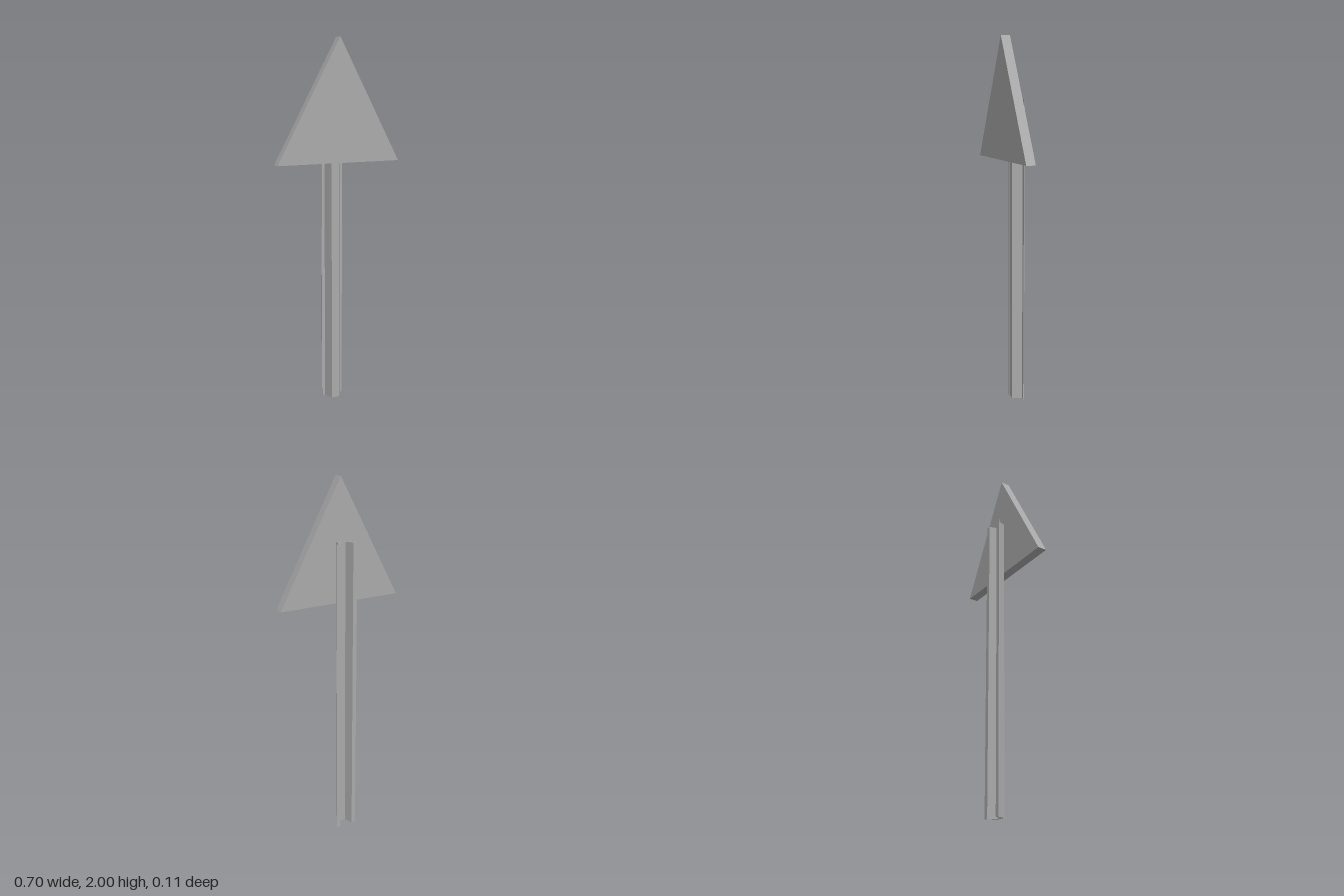
import * as THREE from 'three';

export function createModel() {
  const group = new THREE.Group();
  const metal = new THREE.MeshStandardMaterial({ color: 0xaaaaaa });
  metal.name = 'grey metal';

  const toShape = (pts) => new THREE.Shape(pts.map(([x, y]) => new THREE.Vector2(x, y)));
  const extrude = (pts, depth) =>
    new THREE.ExtrudeGeometry(toShape(pts), { depth, bevelEnabled: false });

  // triangular sign plate
  const plate = new THREE.Mesh(
    extrude([[-0.352, 1.354], [0.352, 1.354], [0, 2]], 0.051), metal);
  plate.name = 'signPlate';
  plate.position.z = 0.0045;
  group.add(plate);

  // flanged U-channel post: right half of the profile as (x, z), then mirrored
  const half = [
    [0.02, -0.001], [0.021, 0.0035], [0.026, 0.0035], [0.0435, -0.0515],
    [0.062, -0.0515], [0.062, -0.0555], [0.038, -0.0555], [0.021, -0.0055],
  ];
  const mirrored = half.map(([x, z]) => [-x, z]).reverse();
  const profile = [...half, ...mirrored].map(([x, z]) => [x, -z]);
  const postGeometry = extrude(profile, 1.677);
  postGeometry.rotateX(-Math.PI / 2);
  const post = new THREE.Mesh(postGeometry, metal);
  post.name = 'channelPost';
  group.add(post);

  return group;
}
